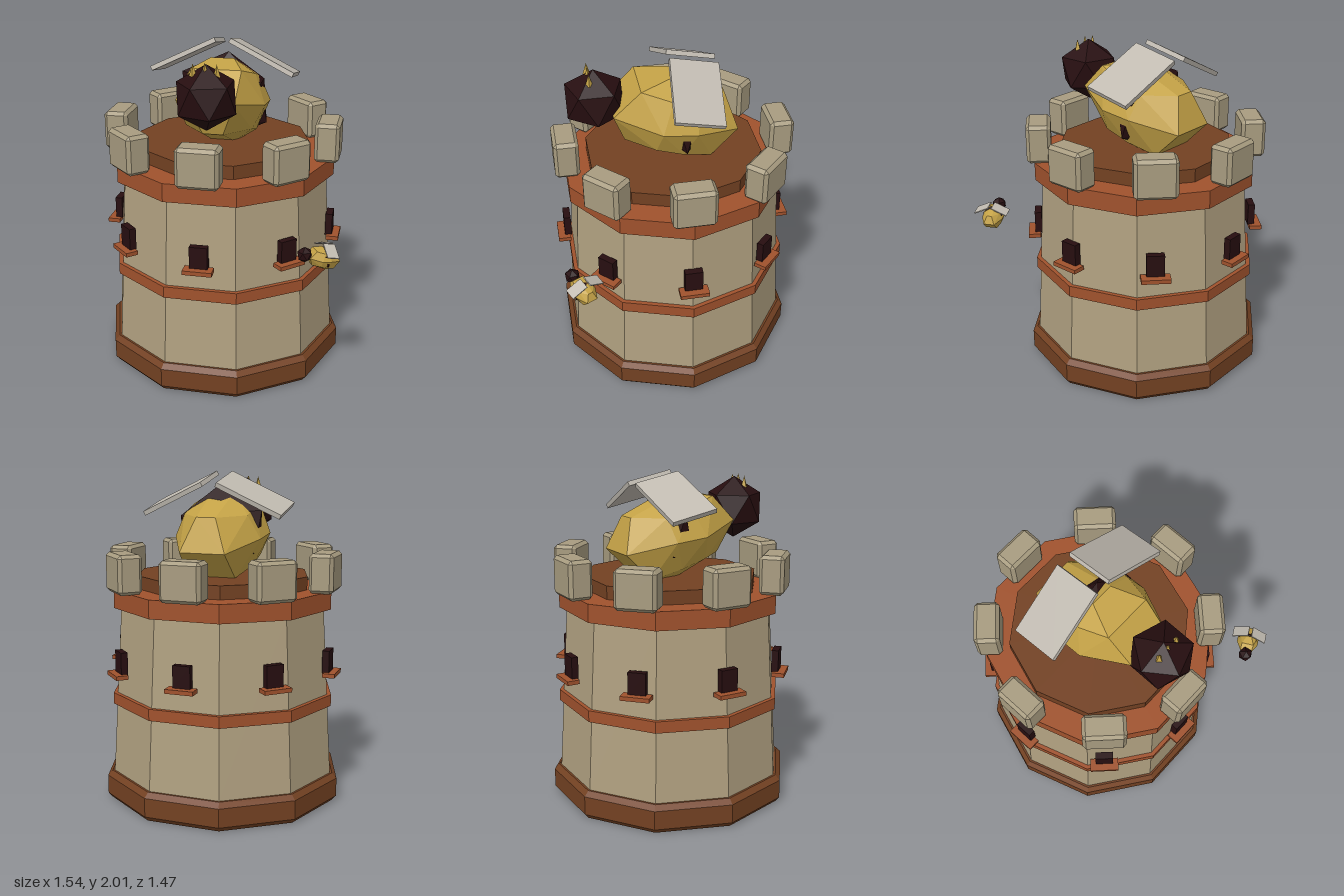
import * as THREE from 'three';
import { ConvexGeometry } from 'three/addons/geometries/ConvexGeometry.js';

const paint = (name, color) => {
  const m = new THREE.MeshStandardMaterial({ color, flatShading: true });
  m.name = name;
  return m;
};

export function createModel() {
  const stone = paint('stone', 0xb0a080);
  const merlonStone = paint('merlon stone', 0xa89c80);
  const brown = paint('dark wood', 0x734122);
  const sienna = paint('clay trim', 0xa0522d);
  const dark = paint('near black', 0x270e10);
  const gold = paint('gold', 0xc4a246);
  const wingGrey = paint('wing grey', 0xc0bab0);

  const add = (parent, name, geo, mat, x = 0, y = 0, z = 0) => {
    const mesh = new THREE.Mesh(geo, mat);
    mesh.name = name;
    mesh.position.set(x, y, z);
    parent.add(mesh);
    return mesh;
  };

  const model = new THREE.Group();
  model.name = 'beeTower';
  const tower = new THREE.Group();
  tower.name = 'tower';
  tower.position.x = -0.013;
  model.add(tower);

  // Ten-sided drum with corners on the x axis
  const drum = (name, mat, rTop, rBottom, y0, y1) =>
    add(tower, name, new THREE.CylinderGeometry(rTop, rBottom, y1 - y0, 10, 1, false, Math.PI / 2),
      mat, 0, (y0 + y1) / 2, 0);

  // Bevelled foot
  const footProfile = [[0, 0], [0.72, 0], [0.745, 0.03], [0.745, 0.145], [0.715, 0.175], [0, 0.175]]
    .map(([r, y]) => new THREE.Vector2(r, y));
  add(tower, 'foot', new THREE.LatheGeometry(footProfile, 10, Math.PI / 2), brown);
  drum('wall', stone, 0.638, 0.702, 0.17, 1.21);
  drum('middleBand', sienna, 0.697, 0.697, 0.605, 0.675);
  drum('topBand', sienna, 0.683, 0.683, 1.2, 1.31);
  drum('roofDisc', brown, 0.535, 0.535, 1.3, 1.39);

  // Box with chamfered edges
  const chamferBox = (w, h, d, c) => {
    const pts = [];
    for (const x of [-1, 1]) for (const y of [-1, 1]) for (const z of [-1, 1]) {
      for (let k = 0; k < 3; k++) {
        pts.push(new THREE.Vector3(
          x * (w / 2 - (k === 0 ? 0 : c)),
          y * (h / 2 - (k === 1 ? 0 : c)),
          z * (d / 2 - (k === 2 ? 0 : c))));
      }
    }
    return new ConvexGeometry(pts);
  };

  // Eight bays, each with a merlon, window and sill
  const merlonGeo = chamferBox(0.25, 0.235, 0.147, 0.02);
  const windowGeo = new THREE.BoxGeometry(0.106, 0.135, 0.042);
  const sillGeo = new THREE.BoxGeometry(0.172, 0.025, 0.076);
  for (let i = 0; i < 8; i++) {
    const bay = new THREE.Group();
    bay.name = 'bay' + i;
    bay.rotation.y = i * Math.PI / 4;
    tower.add(bay);
    add(bay, 'merlon', merlonGeo, merlonStone, 0, 1.425, 0.645);
    add(bay, 'window', windowGeo, dark, 0, 0.888, 0.671);
    add(bay, 'sill', sillGeo, sienna, 0, 0.812, 0.696);
  }

  // Faceted bee body, symmetric left to right and through its centre
  const bodyPoints = [];
  for (const [x, y, z] of [
    [0.15, 0.235, 0.205], [0.14, 0.078, 0.365], [0.06, -0.125, 0.297],
    [0.272, 0.01, 0.1], [0.2, 0.18, 0.03], [0.07, 0.262, 0.02], [0.2, -0.13, 0.13],
  ]) {
    for (const s of [-1, 1]) for (const m of [-1, 1]) {
      bodyPoints.push(new THREE.Vector3(m * x, s * y, s * z));
    }
  }
  const bodyGeo = new ConvexGeometry(bodyPoints);
  const headGeo = new THREE.IcosahedronGeometry(0.19).rotateZ(0.5536);
  const stripeGeo = new THREE.IcosahedronGeometry(1).rotateZ(0.47).scale(0.305, 0.28, 0.13);
  const wingGeo = new THREE.BoxGeometry(0.425, 0.028, 0.29);
  const hornGeo = new THREE.ConeGeometry(0.022, 0.07, 4);

  const makeBee = (name, horns) => {
    const bee = new THREE.Group();
    bee.name = name;
    add(bee, 'body', bodyGeo, gold);
    add(bee, 'stripe', stripeGeo, dark, 0, 0.01, -0.04);
    add(bee, 'head', headGeo, dark, 0, 0.135, 0.455);
    for (const s of [-1, 1]) {
      const wing = add(bee, s > 0 ? 'leftWing' : 'rightWing', wingGeo, wingGrey, s * 0.235, 0.25, -0.095);
      wing.rotation.set(-0.2, 0, -s * 0.45);
    }
    // Crown of little spikes
    if (horns) {
      for (const i of [-1, 0, 1]) {
        add(bee, 'spike', hornGeo, gold, i * 0.067, 0.305 - Math.abs(i) * 0.008, 0.485);
      }
    }
    model.add(bee);
    return bee;
  };

  makeBee('largeBee', true).position.set(-0.012, 1.625, 0);

  const small = makeBee('smallBee', false);
  small.position.set(0.685, 0.94, 0.64);
  small.rotation.y = -1.08;
  small.scale.setScalar(0.24);

  return model;
}
